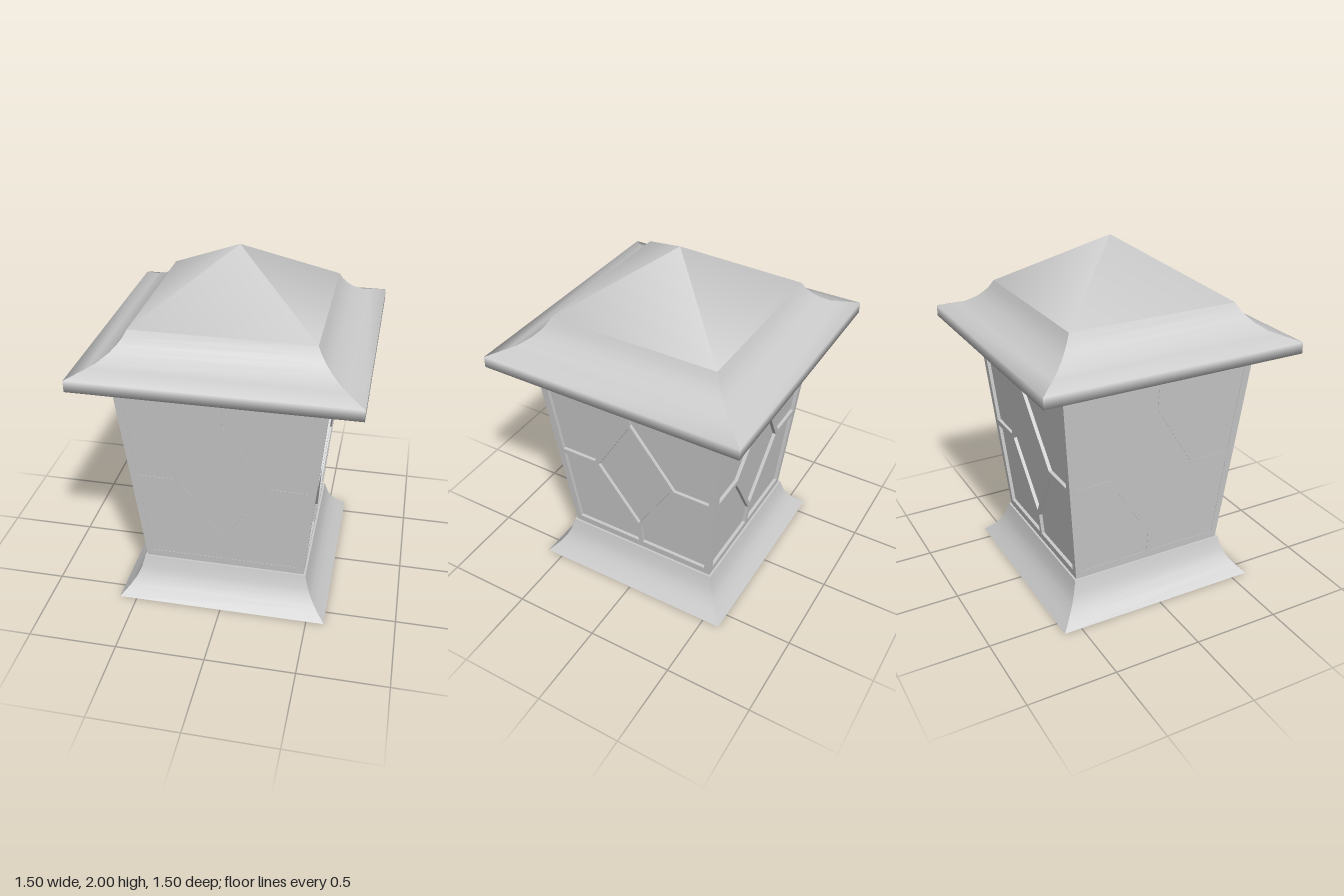
import * as THREE from 'three';
import { mergeGeometries } from 'three/addons/utils/BufferGeometryUtils.js';

const BOTTOM = 0.225, TOP = 1.365, FRAME_DEPTH = 0.03;
// half width of the tapered body at a height
const half = (y) => 0.46 + 0.093 * (y - BOTTOM);

export function createModel() {
  const group = new THREE.Group();
  const material = new THREE.MeshStandardMaterial({ color: 0xcccccc });

  const add = (name, geometry) => {
    const mesh = new THREE.Mesh(geometry, material);
    mesh.name = name;
    group.add(mesh);
    return mesh;
  };

  // repeat one side around the four faces
  const fourSides = (side) => mergeGeometries(
    [0, 1, 2, 3].map((i) => side.clone().rotateY(i * Math.PI / 2)));

  // square moulding swept from [half width, height] points, top to bottom
  const moulding = (profile) => {
    const side = new THREE.PlaneGeometry(2, 2, 1, profile.length - 1);
    const p = side.attributes.position;
    for (let i = 0; i < p.count; i++) {
      const [r, y] = profile[Math.floor(i / 2)];
      p.setXYZ(i, Math.sign(p.getX(i)) * r, y, r);
    }
    side.computeVertexNormals();
    return fourSides(side);
  };

  // horizontal square closing a moulding
  const plate = (r, y, up) => new THREE.PlaneGeometry(2 * r, 2 * r)
    .rotateX(up ? -Math.PI / 2 : Math.PI / 2).translate(0, y, 0);

  // flared foot
  add('base', mergeGeometries([
    moulding([[0.472, 0.225], [0.478, 0.2], [0.492, 0.15], [0.512, 0.105], [0.548, 0.055], [0.6, 0]]),
    plate(0.472, 0.225, true),
    plate(0.6, 0, false),
  ]));

  // glass block, set slightly off centre so two faces sit nearly flush
  const glass = add('glass', moulding([[half(TOP) - 0.011, TOP], [half(BOTTOM) - 0.011, BOTTOM]]));
  glass.position.set(-0.009, 0, 0.009);

  // lattice frame with a diamond and four corner panes
  const toPath = (points) => points.map(([x, y]) => new THREE.Vector2(x, y));
  const panel = new THREE.Shape(toPath([
    [-half(BOTTOM), BOTTOM], [half(BOTTOM), BOTTOM], [half(TOP), TOP], [-half(TOP), TOP],
  ]));
  const upperPane = [[0.013, 1.335], [0.52, 1.335], [0.474, 0.82], [0.258, 0.82], [0.013, 1.205]];
  const lowerPane = [[0.013, 0.27], [0.428, 0.27], [0.472, 0.785], [0.258, 0.785], [0.013, 0.4]];
  const diamond = [[0, 1.178], [0.233, 0.803], [0, 0.427], [-0.233, 0.803]];
  panel.holes.push(new THREE.Path(toPath(diamond)));
  for (const pane of [upperPane, lowerPane]) {
    for (const s of [-1, 1]) {
      panel.holes.push(new THREE.Path(toPath(pane.map(([x, y]) => [s * x, y]))));
    }
  }
  const frame = new THREE.ExtrudeGeometry(panel, { depth: FRAME_DEPTH, bevelEnabled: false });
  const p = frame.attributes.position;
  for (let i = 0; i < p.count; i++) {
    const x = p.getX(i), y = p.getY(i), inset = FRAME_DEPTH - p.getZ(i);
    // lean with the taper and mitre the outer edges
    const onEdge = Math.abs(x) > half(y) - 0.001;
    p.setXYZ(i, onEdge ? x - Math.sign(x) * inset : x, y, half(y) - inset);
  }
  frame.computeVertexNormals();
  add('frame', fourSides(frame));

  // overhanging roof with coved upper side
  add('roofEave', mergeGeometries([
    moulding([
      [0.488, 1.685], [0.51, 1.645], [0.535, 1.613], [0.565, 1.583], [0.62, 1.545],
      [0.655, 1.532], [0.75, 1.5], [0.75, 1.437], [0.595, 1.365],
    ]),
    plate(0.595, 1.365, false),
  ]));

  // pyramid cap
  const cap = new THREE.ConeGeometry(0.488 * Math.SQRT2, 0.315, 4, 1, true)
    .rotateY(Math.PI / 4).translate(0, 1.8425, 0);
  add('roofCap', cap);

  return group;
}
